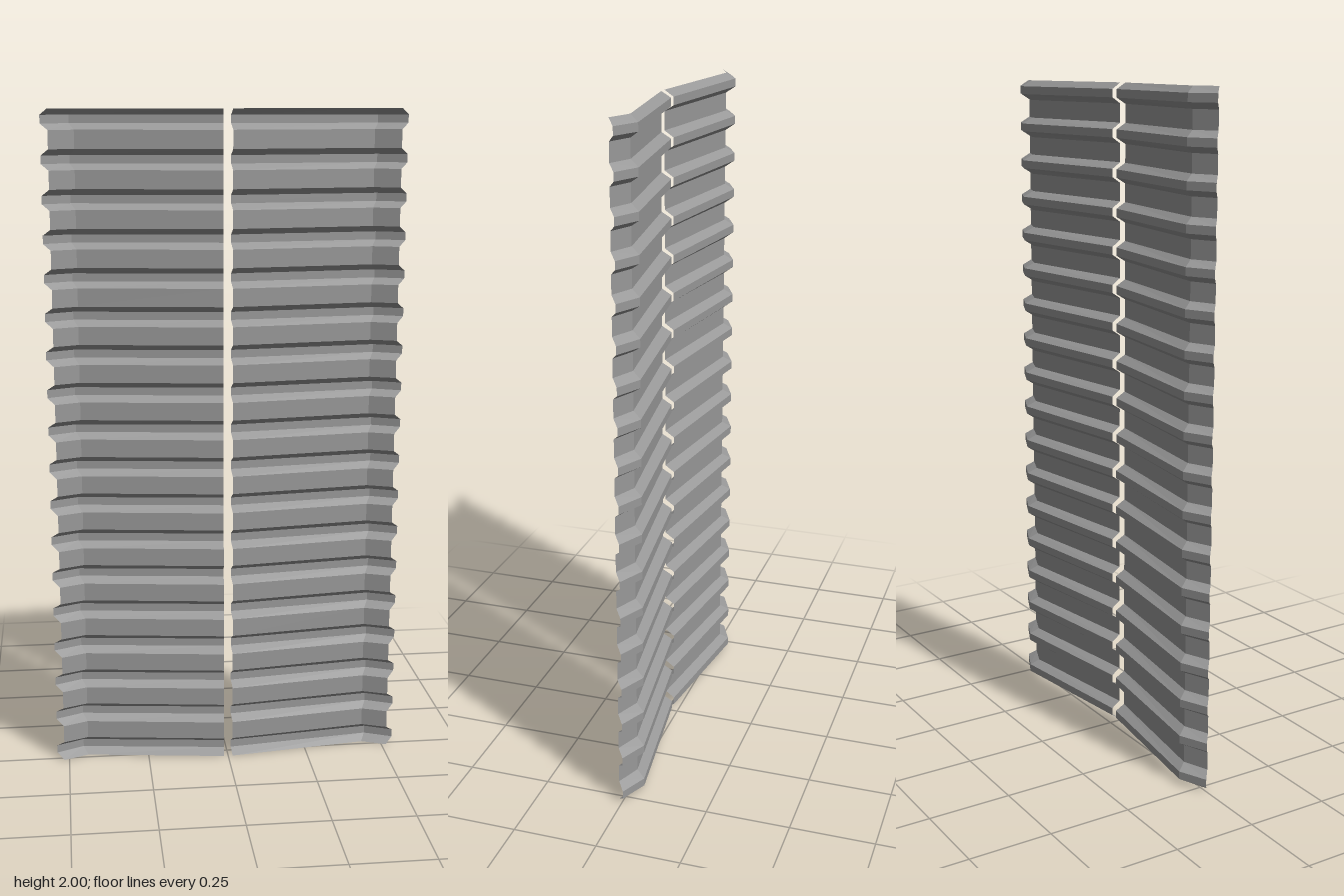
import * as THREE from 'three';

// Plan outlines [x, z] of one half, at the front crests and the back troughs
const FRONT = [[0.014, 0.042], [0.440, -0.017], [0.515, 0.014]];
const BACK = [[0.011, 0.014], [0.454, -0.043], [0.537, -0.005]];

const RIBS = 18, RIB = 0.06, SLOPE = 0.018;
const PITCH = (2 - RIB) / (RIBS - 1);

// Rows of the corrugation from bottom to top: [height, outline]
function corrugation() {
  const rows = [];
  for (let i = 0; i < RIBS; i++) {
    const y = i * PITCH;
    rows.push([y, FRONT], [y + SLOPE, BACK], [y + RIB - SLOPE, BACK], [y + RIB, FRONT]);
  }
  return rows;
}

// One folded corrugated panel; side is +1 for left and -1 for right
function panelGeometry(side) {
  const rows = corrugation(), pos = [];
  const point = (r, c) => [side * rows[r][1][c][0], rows[r][0], rows[r][1][c][1]];
  for (let r = 0; r < rows.length - 1; r++) {
    for (let c = 0; c < FRONT.length - 1; c++) {
      const a = point(r, c), b = point(r, c + 1), d = point(r + 1, c + 1), e = point(r + 1, c);
      const quad = side > 0 ? [a, b, d, a, d, e] : [b, a, e, b, e, d];
      pos.push(...quad.flat());
    }
  }
  const geometry = new THREE.BufferGeometry();
  geometry.setAttribute('position', new THREE.Float32BufferAttribute(pos, 3));
  geometry.computeVertexNormals();
  return geometry;
}

export function createModel() {
  const model = new THREE.Group();
  model.name = 'corrugatedSheets';
  const metal = new THREE.MeshStandardMaterial({ color: 0x999999, side: THREE.DoubleSide });
  metal.name = 'grey metal';

  // Two mirrored panels with a narrow gap between them
  for (const side of [1, -1]) {
    const panel = new THREE.Mesh(panelGeometry(side), metal);
    panel.name = side > 0 ? 'leftPanel' : 'rightPanel';
    model.add(panel);
  }
  return model;
}
